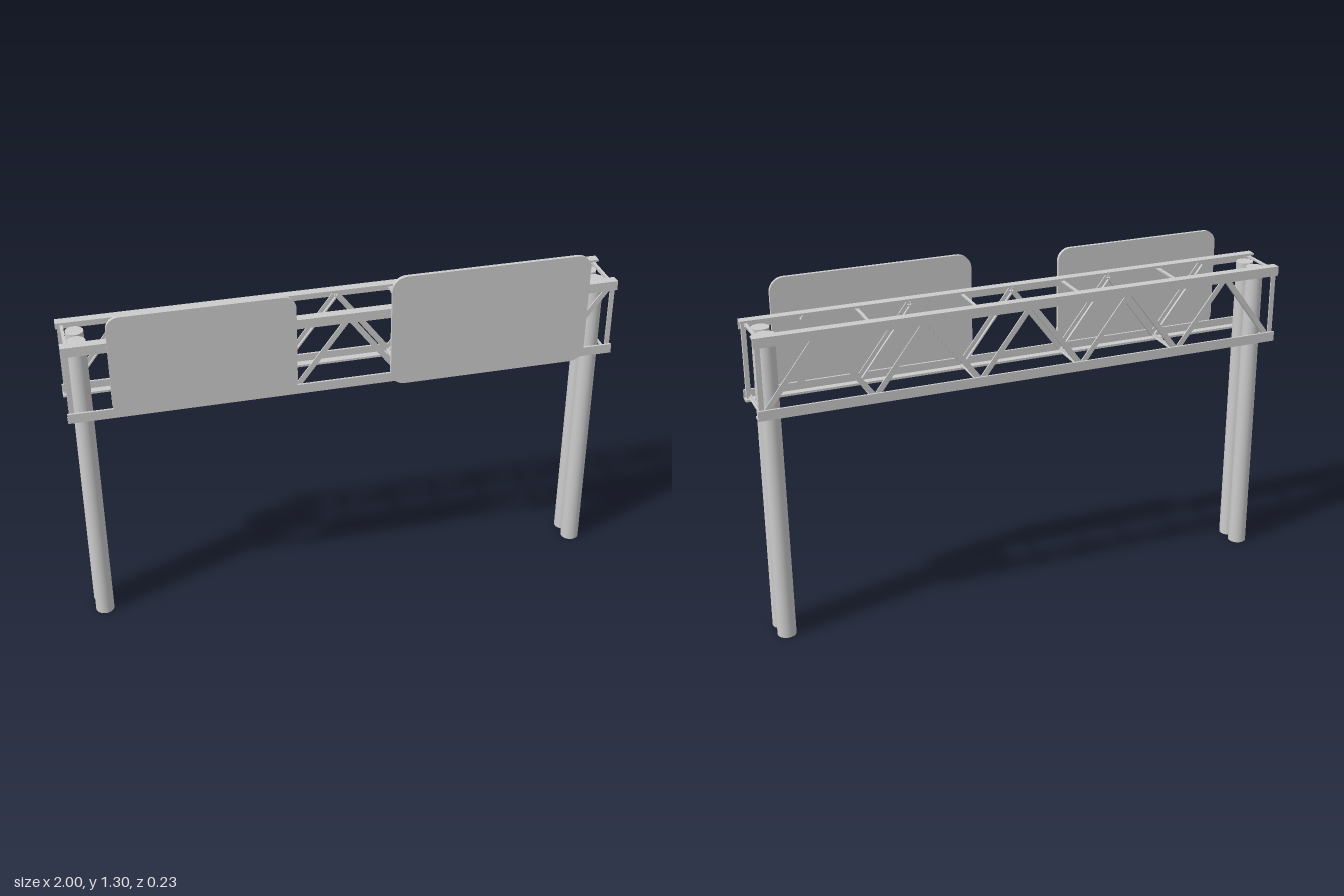
import * as THREE from 'three';

const mat = new THREE.MeshStandardMaterial({ color: 0xcccccc });
const V = (x, y, z) => new THREE.Vector3(x, y, z);

export function createModel() {
  const model = new THREE.Group();
  model.name = 'signGantry';

  function add(name, geometry, parent = model) {
    const mesh = new THREE.Mesh(geometry, mat);
    mesh.name = name;
    parent.add(mesh);
    return mesh;
  }

  // L-section bar: its corner edge runs from a to b, legs point along u and v
  function angleBar(name, a, b, u, v, lenU, lenV, t) {
    const bar = new THREE.Group();
    bar.name = name;
    const w = b.clone().sub(a);
    const length = w.length();
    w.normalize();
    const basis = new THREE.Matrix4().makeBasis(u, w.clone().cross(u), w);
    const mid = a.clone().add(b).multiplyScalar(0.5);
    for (const [su, sv] of [[lenU, t], [t, lenV]]) {
      const leg = add(name + 'Leg', new THREE.BoxGeometry(su, sv, length), bar);
      leg.quaternion.setFromRotationMatrix(basis);
      leg.position.copy(mid).addScaledVector(u, su / 2).addScaledVector(v, sv / 2);
    }
    model.add(bar);
  }

  // Paired round posts at each end
  for (const x of [-0.94, 0.94]) {
    for (const z of [0.03, -0.042]) {
      add('post', new THREE.CylinderGeometry(0.032, 0.0345, 1.162, 32)).position.set(x, 0.581, z);
    }
  }

  const top = 1.176, bottom = 0.88;
  const faces = [{ name: 'front', z: 0.1, inward: -1 }, { name: 'back', z: -0.115, inward: 1 }];

  for (const { name, z, inward } of faces) {
    const into = V(0, 0, inward);

    // Long chords, flanges on the outside
    angleBar(name + 'TopChord', V(-1, top, z), V(1, top, z), into, V(0, -1, 0), 0.035, 0.036, 0.008);
    angleBar(name + 'BottomChord', V(-1, bottom, z), V(1, bottom, z), into, V(0, 1, 0), 0.035, 0.036, 0.008);

    // End uprights
    const webZ = z + inward * 0.008;
    for (const s of [-1, 1]) {
      angleBar(name + 'Upright', V(s * 0.994, bottom + 0.008, webZ), V(s * 0.994, top - 0.008, webZ),
        V(-s, 0, 0), into, 0.018, 0.016, 0.005);
    }

    // Zigzag web between the chords
    const diagonal = (x0, y0, x1, y1) => {
      const d = V(x1 - x0, y1 - y0, 0).normalize();
      const side = V(-d.y, d.x, 0);
      const shift = side.clone().multiplyScalar(-0.01);
      angleBar(name + 'Diagonal', V(x0, y0, webZ).add(shift), V(x1, y1, webZ).add(shift),
        side, into, 0.02, 0.015, 0.005);
    };
    const low = 0.9, high = 1.156, step = 0.195;
    const reach = name === 'back' ? 5 : 4;
    for (let i = -reach; i < reach; i++) {
      const yAt = (k) => (k % 2 === 0 ? high : low);
      diagonal(i * step, yAt(i), (i + 1) * step, yAt(i + 1));
    }
    if (name === 'front') diagonal(4 * step, low, 5 * step, high);
  }

  // Cross members joining the two faces, top and bottom
  for (let i = 0; i < 6; i++) {
    const x = -0.98 + i * 0.392;
    angleBar('topCrossMember', V(x - 0.005, 1.168, -0.107), V(x - 0.005, 1.168, 0.092),
      V(1, 0, 0), V(0, -1, 0), 0.011, 0.011, 0.004);
    angleBar('bottomCrossMember', V(x - 0.005, 0.888, -0.107), V(x - 0.005, 0.888, 0.092),
      V(1, 0, 0), V(0, 1, 0), 0.011, 0.011, 0.004);
  }

  // Blank rounded sign panels on the front
  function signPanel(name, x0, x1, y0, y1, r) {
    const s = new THREE.Shape();
    s.moveTo(x0 + r, y0);
    s.lineTo(x1 - r, y0);
    s.absarc(x1 - r, y0 + r, r, -Math.PI / 2, 0);
    s.absarc(x1 - r, y1 - r, r, 0, Math.PI / 2);
    s.absarc(x0 + r, y1 - r, r, Math.PI / 2, Math.PI);
    s.absarc(x0 + r, y0 + r, r, Math.PI, Math.PI * 1.5);
    add(name, new THREE.ExtrudeGeometry(s, { depth: 0.014, bevelEnabled: false, curveSegments: 8 }))
      .position.z = 0.101;
  }
  signPanel('rightSignPanel', -0.845, -0.193, 0.895, 1.277, 0.047);
  signPanel('leftSignPanel', 0.148, 0.883, 0.875, 1.302, 0.052);

  return model;
}
